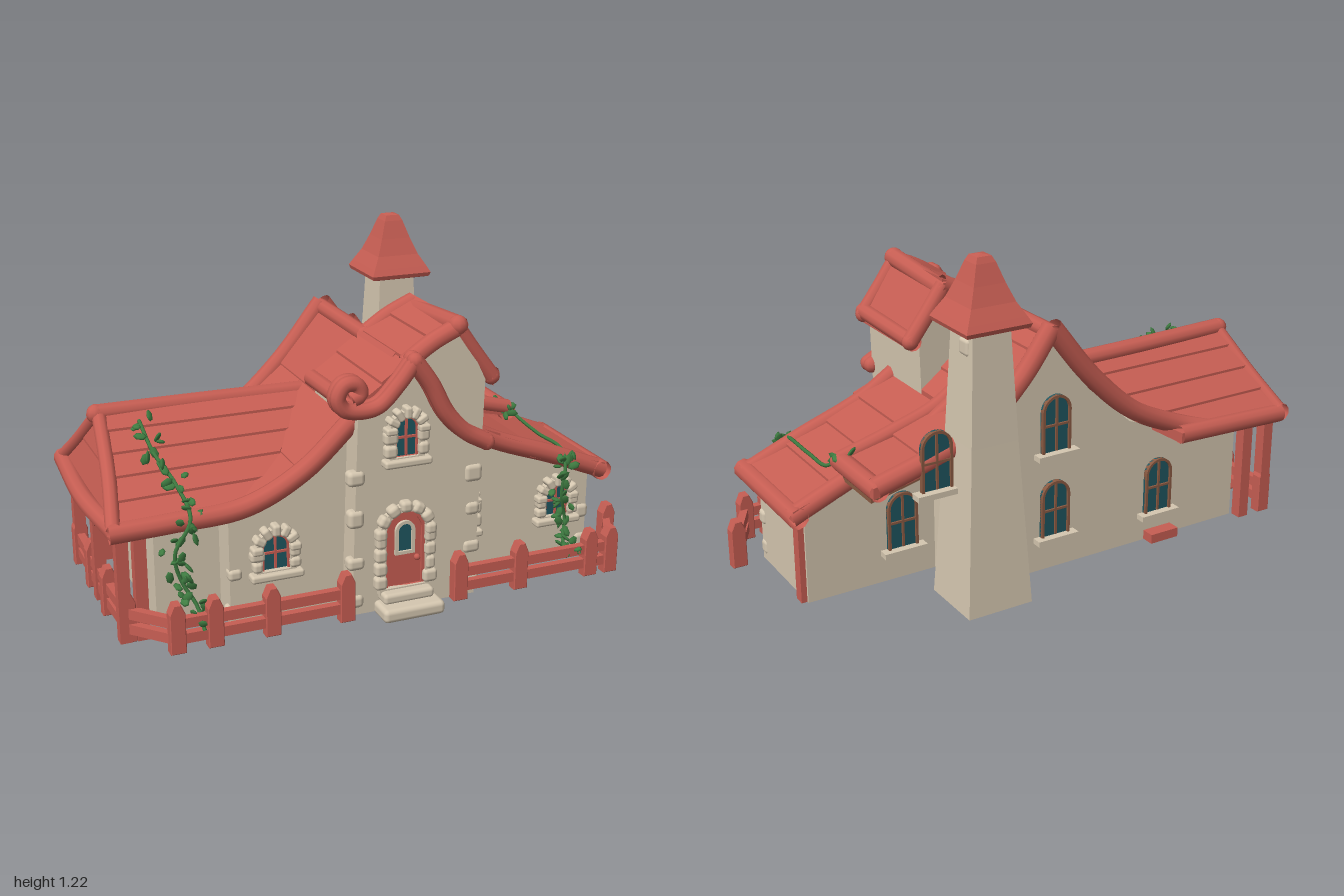
import * as THREE from 'three';
import { ConvexGeometry } from 'three/addons/geometries/ConvexGeometry.js';
import { RoundedBoxGeometry } from 'three/addons/geometries/RoundedBoxGeometry.js';

const mat = (name, color, side = THREE.DoubleSide) => {
  const m = new THREE.MeshStandardMaterial({ color, side });
  m.name = name;
  return m;
};

export function createModel() {
  const root = new THREE.Group();
  root.name = 'cottage';
  const red = mat('redTimber', 0xc75e53), plaster = mat('plaster', 0xd5c7b0);
  const glass = mat('tealGlass', 0x1f5660), green = mat('leafGreen', 0x3f7d42), brown = mat('brownFrame', 0x8a5a42);
  const V = (x, y, z) => new THREE.Vector3(x, y, z);
  let seed = 7;
  const rnd = () => (seed = (seed * 16807) % 2147483647) / 2147483647;

  const add = (name, geo, m, parent = root) => {
    const mesh = new THREE.Mesh(geo, m);
    mesh.name = name;
    parent.add(mesh);
    return mesh;
  };
  const box = (name, x, y, z, w, h, d, m, parent) => {
    const b = add(name, new THREE.BoxGeometry(w, h, d), m, parent);
    b.position.set(x, y, z);
    return b;
  };
  // soft-edged plaster stone
  const stone = (name, x, y, z, w, h, d, parent) => {
    const s = add(name, new RoundedBoxGeometry(w, h, d, 2, Math.min(w, h, d) * .35), plaster, parent);
    s.position.set(x, y, z);
    return s;
  };
  // box running from a to b
  const beam = (name, a, b, w, h) => {
    const o = add(name, new THREE.BoxGeometry(w, h, a.distanceTo(b)), red);
    o.position.copy(a).lerp(b, 0.5);
    o.lookAt(b);
  };
  // rounded trim through points
  const trim = (name, pts, r) =>
    add(name, new THREE.TubeGeometry(new THREE.CatmullRomCurve3(pts), pts.length * 6, r, 10), red);
  const flat = (pts, z) => pts.map(p => V(p[0], p[1], z));
  const ball = (name, p, r) => add(name, new THREE.SphereGeometry(r, 10, 8), red).position.copy(p);

  // hollow wall block without a floor
  const walls = (name, pts, z0, z1, alongX = false) => {
    const shape = new THREE.Shape(pts.map(p => new THREE.Vector2(...p)));
    const g = new THREE.ExtrudeGeometry(shape, { depth: z1 - z0, bevelEnabled: false });
    const p = g.attributes.position, keep = [];
    for (let i = 0; i < p.count; i += 3)
      if (p.getY(i) + p.getY(i + 1) + p.getY(i + 2) > 0.001) keep.push(i, i + 1, i + 2);
    g.setIndex(keep);
    if (alongX) g.rotateY(-Math.PI / 2).translate(z1, 0, 0);
    else g.translate(0, 0, z0);
    add(name, g, plaster);
  };
  walls('mainWalls', [[-.56, 0], [.38, 0], [.38, .52], [.28, .6], [.05, .86], [-.12, .65], [-.3, .49], [-.56, .39]], -.345, .26);
  walls('frontLeftWall', [[-.56, 0], [-.13, 0], [-.13, .64], [-.3, .49], [-.56, .39]], .2, .33);
  walls('doorBay', [[-.15, 0], [.32, 0], [.34, .8], [.25, .98], [.05, .87], [-.13, .72]], .03, .42);
  walls('rightWingWalls', [[.36, 0], [.87, 0], [.87, .32], [.36, .53]], -.13, .26);
  walls('leftWingWalls', [[-.345, 0], [.22, 0], [.22, .44], [-.1, .63], [-.345, .43]], -.79, -.5, true);

  // overlapping plank rows between an upper edge (a0, a1) and a lower edge (b0, b1)
  const planks = (name, a0, a1, b0, b1, n, m = red) => {
    for (let i = 0; i < n; i++) {
      const top = [];
      for (const [a, b] of [[a0, b0], [a1, b1]])
        top.push(a.clone().lerp(b, i / n), a.clone().lerp(b, (i + 1.06) / n).add(V(0, .01, 0)));
      add(name, new ConvexGeometry([...top, ...top.map(p => p.clone().add(V(0, -.04, 0)))]), m);
    }
  };
  const slope = (name, pts, z0, z1, n, m = red, drop = 0) => {
    for (let i = 0; i + 1 < pts.length; i++) {
      const [[ax, ay], [bx, by]] = [pts[i], pts[i + 1]];
      planks(name, V(ax, ay - drop, z0), V(ax, ay - drop, z1), V(bx, by - drop, z0), V(bx, by - drop, z1), n, m);
    }
  };
  const leftCurve = [[.05, .91], [-.12, .7], [-.3, .54], [-.5, .445]];
  const rightCurve = [[.05, .91], [.17, .75], [.33, .61], [.52, .54], [.72, .485]];
  slope('mainRoofLeft', leftCurve, -.38, .33, 1);
  slope('mainRoofRightUpper', rightCurve.slice(0, 3), -.38, .1, 2);
  slope('mainRoofRightLower', rightCurve.slice(2), -.38, -.08, 1);
  slope('eaveSoffit', rightCurve.slice(2), -.36, -.13, 1, brown, .02);
  trim('mainRidge', [V(.05, .89, -.38), V(.05, .89, .05)], .03);
  trim('backTrimLeft', [...flat(leftCurve, -.365), V(-.62, .41, -.39)], .036);
  trim('backTrimRight', flat(rightCurve, -.365), .036);
  trim('roofRib', flat(rightCurve, -.1), .03);
  trim('mainEave', [V(.71, .475, -.38), V(.71, .475, -.08)], .036);

  // left wing roof: ridge along x, hipped at the porch end
  const ridgeOut = V(-.88, .685, -.1), ridgeIn = V(-.1, .68, -.1);
  const cornerBack = V(-.955, .42, -.41), cornerFront = V(-.945, .42, .32);
  planks('leftRoofFront', ridgeOut, ridgeIn, cornerFront, V(-.45, .44, .33), 5);
  planks('leftRoofBack', ridgeOut, ridgeIn, cornerBack, V(-.48, .42, -.41), 4);
  planks('leftHip', ridgeOut, V(-.88, .685, -.09), cornerBack, cornerFront, 2);
  trim('leftRidge', [V(-.89, .67, -.1), V(-.5, .665, -.11), V(-.12, .66, -.11)], .034);
  ball('leftRidgeEnd', V(-.89, .67, -.1), .034);
  trim('hipEdgeFront', [V(-.88, .67, -.1), V(-.91, .53, .14), V(-.945, .42, .32)], .026);
  trim('hipEdgeBack', [V(-.88, .67, -.1), V(-.92, .53, -.26), V(-.955, .42, -.4)], .026);
  trim('leftEndEave', [V(-.955, .41, -.42), V(-.967, .405, 0), V(-.94, .41, .33)], .034);
  trim('leftBackEave', [V(-.955, .405, -.405), V(-.48, .42, -.405)], .034);
  trim('leftFrontEave', [V(-.96, .4, .315), V(-.75, .41, .325), V(-.5, .43, .335), V(-.3, .53, .345), V(-.12, .7, .36)], .036);

  // right wing roof
  slope('rightRoof', [[.33, .6], [.6, .475], [.91, .36]], -.16, .3, 2);
  for (const z of [-.135, .275])
    trim('rightRoofTrim', flat([[.3, .61], [.45, .52], [.7, .425], [.92, .335]], z), .035);
  trim('rightEave', [V(.905, .34, -.17), V(.905, .34, .31)], .037);

  // tall front roof with a framed dormer panel
  slope('frontRoofLeft', [[.25, 1.01], [.05, .9], [-.13, .76]], .02, .42, 2);
  slope('dormerPanel', [[.25, 1], [.37, .81]], .02, .41, 1);
  trim('frontRidge', [V(.24, .965, .01), V(.24, .995, .41)], .035);
  trim('dormerEave', [V(.37, .8, .01), V(.37, .81, .41)], .03);
  trim('frontRoofEave', [V(-.14, .745, .02), V(-.14, .755, .41)], .03);
  for (const z of [.03, .395]) {
    trim('dormerSide', flat([[.24, .985], [.3, .9], [.375, .8]], z), .03);
    trim('frontRoofSide', flat([[.25, .99], [.15, .945], [.05, .88]], z), .033);
    ball('dormerCorner', V(.375, .8, z), .03);
  }
  ball('ridgeEnd', V(.24, .995, .4), .035);

  // front gable trim ending in a scroll
  const curl = [[.06, .905], [0, .83], [-.07, .765], [-.14, .755], [-.195, .77], [-.215, .81], [-.19, .852], [-.15, .85], [-.135, .815], [-.165, .8]];
  for (const z of [.425, .452]) {
    trim('gableScroll', flat(curl, z), .027);
    trim('gableTrimRight', flat([[.06, .905], [.12, .82], [.18, .71], [.25, .635], [.335, .585]], z), .03);
    ball('gablePeak', V(.06, .905, z), .03);
    ball('trimEnd', V(.335, .585, z), .03);
  }

  // chimney: tapered square shaft with a bell-shaped cap
  const square = pts => new THREE.LatheGeometry(pts.map(p => new THREE.Vector2(p[0] * Math.SQRT2, p[1])), 4, Math.PI / 4).toNonIndexed();
  const shaft = square([[0, .01], [.122, .01], [.088, .6], [.068, 1.02]]);
  const cap = square([[0, .99], [.1, .983], [.115, .988], [.12, 1.003], [.108, 1.025], [.082, 1.07], [.058, 1.13], [.036, 1.195], [.026, 1.215], [0, 1.22]]);
  for (const [name, g, m] of [['chimneyShaft', shaft, plaster], ['chimneyCap', cap, red]]) {
    g.computeVertexNormals();
    add(name, g, m).position.set(.35, 0, -.41);
  }
  stone('chimneyStone', .41, .93, -.43, .04, .06, .06);
  stone('chimneyStone', .3, .8, -.335, .06, .05, .04);

  // arched shape with its origin at bottom centre
  const arch = (w, h, Kind = THREE.Shape, y = 0) => {
    const s = new Kind();
    s.moveTo(-w / 2, y).lineTo(w / 2, y).lineTo(w / 2, h - w / 2);
    s.absarc(0, h - w / 2, w / 2, 0, Math.PI, false);
    return s.lineTo(-w / 2, y);
  };
  const plate = (s, depth) => new THREE.ExtrudeGeometry(s, { depth, bevelEnabled: false, curveSegments: 10 });
  const ring = (w, h, t, depth) => {
    const s = arch(w + 2 * t, h + t, THREE.Shape, -t);
    s.holes.push(arch(w, h, THREE.Path));
    return plate(s, depth);
  };
  const opening = (name, x, y, z, w, h, { back = false, door = false } = {}) => {
    const g = new THREE.Group();
    g.name = name;
    g.position.set(x, y, z);
    if (back) g.rotation.y = Math.PI;
    root.add(g);
    add('pane', plate(arch(w, h), .009), door ? red : glass, g);
    add('frame', ring(w * .84, h - w * .08, w * .08, .018), back ? brown : red, g);
    if (!door) {
      box('mullion', 0, h / 2, .01, .008, h * .95, .012, back ? brown : red, g);
      box('crossbar', 0, h * .48, .01, w * .9, .008, .012, back ? brown : red, g);
    }
    if (back) {
      box('sill', 0, -.008, .015, w + .05, .02, .045, plaster, g);
      return g;
    }
    add('stoneSurround', ring(w, h, .022, .028), plaster, g);
    // uneven stones along jambs and arch
    const jamb = h - w / 2, r = w / 2 + .018, n = door ? 4 : 2;
    for (const s of [-1, 1]) for (let i = 0; i < n; i++)
      stone('jambStone', s * r, jamb * (i + .5) / n, .018, .035 + rnd() * .02, jamb / n * .95, .04, g);
    for (let i = 0; i <= 6; i++) {
      const a = Math.PI * i / 6;
      stone('archStone', Math.cos(a) * r, jamb + Math.sin(a) * r, .018, .042, w * .29, .04 + rnd() * .01, g).rotation.z = a;
    }
    if (!door) stone('sill', 0, -.018, .022, w + .09, .028, .05, g);
    return g;
  };
  opening('leftWindow', -.4, .19, .33, .1, .13);
  opening('gableWindow', .04, .57, .42, .085, .14);
  opening('narrowWindow', .345, .19, .265, .045, .13);
  opening('rightWindow', .73, .18, .26, .095, .12);
  const door = opening('door', .04, .09, .42, .15, .28, { door: true });
  add('doorGlass', plate(arch(.05, .1), .008), glass, door).position.set(0, .13, .004);
  add('doorGlassFrame', ring(.05, .1, .012, .018), plaster, door).position.set(0, .13, .002);
  add('doorKnob', new THREE.SphereGeometry(.012, 8, 6), red, door).position.set(.045, .1, .02);
  for (const [x, y, z] of [[.02, .13, -.345], [.02, .45, -.345], [-.43, .11, -.345], [.51, .12, -.13], [.51, .44, -.385]])
    opening('backWindow', x, y, z, .115, .21, { back: true });

  // door steps and corner stones
  stone('lowerStep', .04, .026, .48, .23, .05, .11);
  stone('upperStep', .04, .065, .45, .19, .04, .07);
  for (const [x, z, top] of [[-.135, .405, .6], [.305, .405, .5], [-.54, .315, .35], [.85, .245, .25]])
    for (let y = .05; y < top; y += .11 + rnd() * .06)
      stone('cornerStone', x, y, z, .045 + rnd() * .03, .04 + rnd() * .03, .05);

  // porch posts with braces
  const posts = [[-.92, .3, .4], [-.86, .3, .4], [-.92, -.05, .4], [-.92, -.37, .4], [-.82, -.37, .4], [.87, -.1, .3]];
  for (const [x, z, h] of posts) box('porchPost', x, h / 2, z, .042, h, .042, red);
  for (const s of [-1, 1]) beam('porchBrace', V(-.92, .28, -.05), V(-.93, .39, -.05 + s * .1), .025, .025);
  box('backStep', -.44, .02, -.37, .12, .035, .05, red);

  // fences: pointed pickets joined by two rails
  const picketShape = new THREE.Shape([[-.024, 0], [.024, 0], [.024, .14], [.01, .172], [-.01, .172], [-.024, .14]].map(p => new THREE.Vector2(...p)));
  const picketGeo = new THREE.ExtrudeGeometry(picketShape, { depth: .036, bevelEnabled: true, bevelSize: .003, bevelThickness: .003, bevelSegments: 1 }).translate(0, 0, -.018);
  const fence = (name, pts) => pts.forEach(([x, z], i) => {
    add(name + 'Picket', picketGeo, red).position.set(x, .003, z);
    if (!i) return;
    const [px, pz] = pts[i - 1];
    for (const y of [.05, .105]) beam(name + 'Rail', V(px, y, pz), V(x, y, z), .028, .036);
  });
  fence('leftFence', [[-.18, .44], [-.45, .44], [-.65, .44], [-.78, .44], [-.91, .3], [-.92, .08], [-.92, -.16], [-.92, -.37]]);
  fence('rightFence', [[.25, .44], [.49, .44], [.78, .44], [.865, .44], [.97, .25]]);

  // climbing vines with scattered leaves
  const leafGeo = new THREE.SphereGeometry(.024, 6, 4).scale(1, .28, .62);
  const vine = (name, pts, from, n) => {
    const curve = new THREE.CatmullRomCurve3(pts);
    add(name + 'Stem', new THREE.TubeGeometry(curve, 50, .007, 5), green);
    for (let i = 0; i < n; i++) {
      const p = curve.getPoint(from(i / n));
      const leaf = add(name + 'Leaf', leafGeo, green);
      leaf.position.set(p.x + (rnd() - .5) * .08, p.y + (rnd() - .3) * .03, p.z + (rnd() - .5) * .04);
      leaf.rotation.set(rnd() * 6, rnd() * 6, rnd() * 6);
    }
  };
  vine('leftVine', [V(-.76, .655, -.02), V(-.75, .585, .12), V(-.71, .51, .24), V(-.7, .43, .37), V(-.76, .32, .38), V(-.74, .22, .38), V(-.7, .14, .41), V(-.69, .07, .46)], t => t, 46);
  vine('rightVine', [V(.71, .5, -.11), V(.745, .455, -.06), V(.745, .44, .1), V(.745, .435, .28), V(.73, .39, .33), V(.72, .28, .33), V(.75, .17, .31), V(.72, .1, .36), V(.73, .1, .46)], t => t < .25 ? t * .4 : .42 + (t - .25) * .77, 48);
  return root;
}
